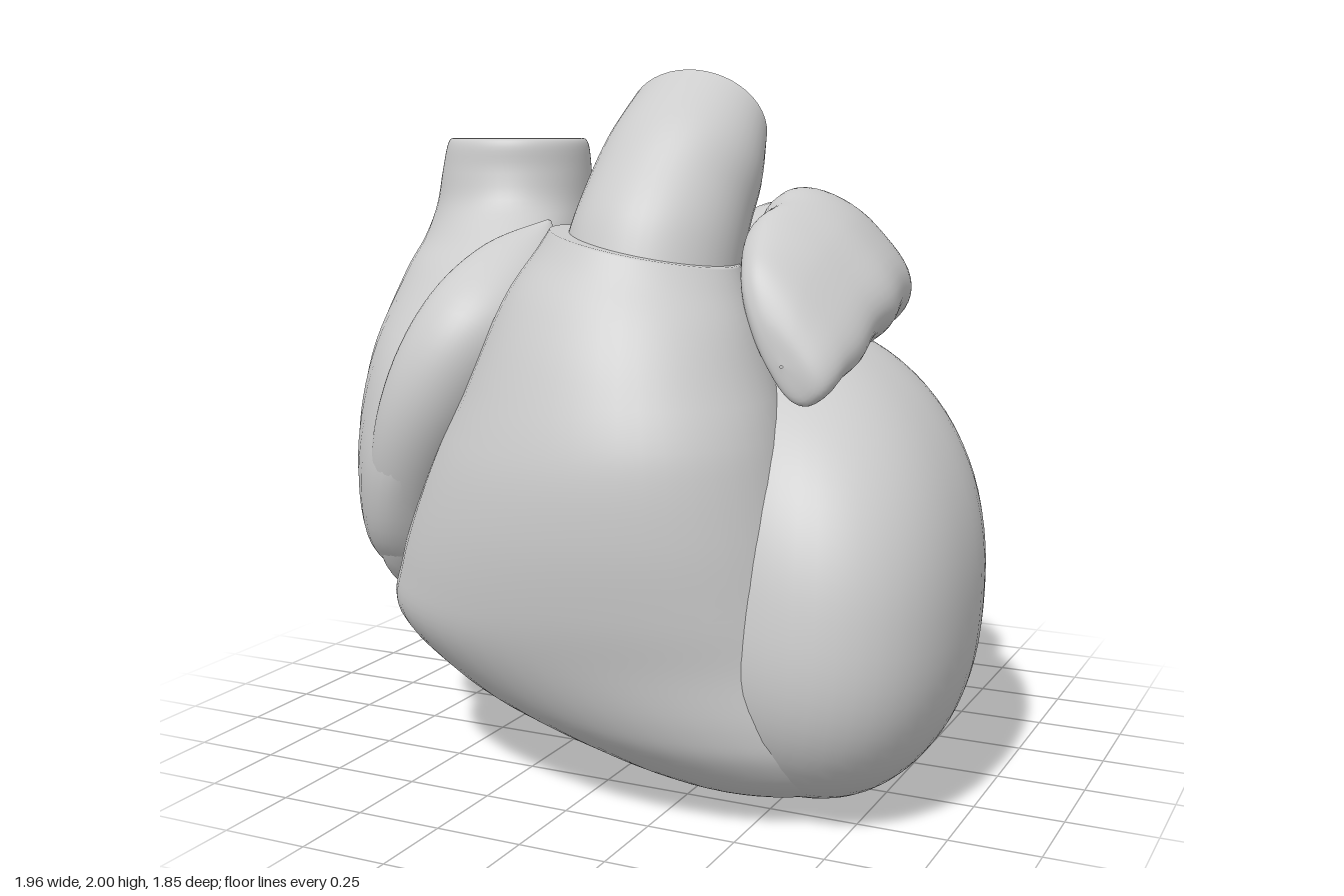
import * as THREE from 'three';
import { mergeVertices } from 'three/addons/utils/BufferGeometryUtils.js';

const V = (x, y, z) => new THREE.Vector3(x, y, z);
const SEG = 48;
const squarish = (v, power) => Math.sign(v) * Math.abs(v) ** power;

// Smooth loft: rows of section numbers are spline-interpolated, point(row, angle) gives the surface
function loft(rows, point, { steps = 6, capEnd = false } = {}) {
  const pos = [], index = [], count = (rows.length - 1) * steps;
  for (let i = 0; i <= count; i++) {
    const k = Math.min(Math.floor(i / steps), rows.length - 2), t = i / steps - k;
    const at = (n) => rows[Math.max(0, Math.min(rows.length - 1, n))];
    const row = rows[k].map((b, c) => {
      const a = at(k - 1)[c], d = at(k + 1)[c], e = at(k + 2)[c];
      return b + 0.5 * t * (d - a + t * (2 * a - 5 * b + 4 * d - e + t * (3 * (b - d) + e - a)));
    });
    for (let j = 0; j < SEG; j++) pos.push(...point(row, (j / SEG) * Math.PI * 2).toArray());
  }
  for (let i = 0; i < count; i++) for (let j = 0; j < SEG; j++) {
    const a = i * SEG + j, b = i * SEG + (j + 1) % SEG;
    index.push(a, a + SEG, b, b, a + SEG, b + SEG);
  }
  if (capEnd) {
    const first = count * SEG, centre = V(0, 0, 0);
    for (let j = 0; j < SEG; j++) centre.add(V().fromArray(pos, (first + j) * 3));
    pos.push(...centre.divideScalar(SEG).toArray());
    for (let j = 0; j < SEG; j++) index.push(first + j, pos.length / 3 - 1, first + (j + 1) % SEG);
  }
  const g = new THREE.BufferGeometry();
  g.setAttribute('position', new THREE.Float32BufferAttribute(pos, 3));
  g.setIndex(index);
  g.computeVertexNormals();
  return g;
}

// Round-section tube along one main direction; rows are [x, y, z, radius]
function tube(rows, steps = 6) {
  const d = V(...rows[rows.length - 1]).sub(V(...rows[0])).normalize();
  const u = V(0, 0, 1).addScaledVector(d, -d.z).normalize();
  const v = u.clone().cross(d);
  return loft(rows, ([x, y, z, r], a) => V(x, y, z)
    .addScaledVector(u, r * Math.cos(a)).addScaledVector(v, r * Math.sin(a)), { steps });
}

// Full-bodied egg: a rounded superellipsoid sheared by a lower-triangular matrix
function egg([cx, cy, cz], [a, b, d, c, e, f], power) {
  const g0 = new THREE.SphereGeometry(1, 64, 48);
  g0.deleteAttribute('uv');
  g0.deleteAttribute('normal');
  const g = mergeVertices(g0, 1e-4), p = g.attributes.position;
  for (let i = 0; i < p.count; i++) {
    const q = V().fromBufferAttribute(p, i);
    const n = Math.pow(['x', 'y', 'z'].reduce((s, k) => s + Math.abs(q[k]) ** power, 0), 1 / power);
    q.divideScalar(n);
    p.setXYZ(i, cx + a * q.x, cy + b * q.x + d * q.y, cz + c * q.x + e * q.y + f * q.z);
  }
  g.computeVertexNormals();
  return g;
}

export function createModel() {
  const model = new THREE.Group();
  model.name = 'heart';
  const grey = new THREE.MeshStandardMaterial({ color: 0xcccccc, side: THREE.DoubleSide });
  grey.name = 'plain grey';
  const add = (name, geometry, parent = model) => {
    const mesh = new THREE.Mesh(geometry, grey);
    mesh.name = name;
    parent.add(mesh);
  };

  // Left ventricle: tilted egg
  add('leftVentricle', egg([0.35, 0.65, 0.045], [0.633, -0.11, 0.635, 0.238, -0.095, 0.66], 2.3));

  // Right ventricle: horizontal sections [y, left x, right x, front z, back z]
  add('rightVentricle', loft([
    [0.04, 0.36, 0.4, 0.26, 0.22],
    [0.05, 0.1, 0.64, 0.53, 0.04],
    [0.1, -0.12, 0.74, 0.66, -0.04],
    [0.2, -0.38, 0.78, 0.77, -0.06],
    [0.3, -0.56, 0.75, 0.83, -0.03],
    [0.45, -0.71, 0.68, 0.88, 0],
    [0.6, -0.68, 0.63, 0.915, 0],
    [0.8, -0.6, 0.58, 0.935, 0],
    [1.0, -0.51, 0.53, 0.92, 0],
    [1.2, -0.4, 0.47, 0.85, 0.04],
    [1.35, -0.31, 0.42, 0.77, 0.12],
    [1.46, -0.23, 0.37, 0.69, 0.15],
    [1.52, -0.19, 0.34, 0.65, 0.16],
  ], ([y, l, r, f, b], a) => {
    const x = (l + r) / 2 + (r - l) / 2 * Math.cos(a) + 0.1 * Math.sin(a) * Math.min(1, (r - l), Math.max(0, (1.52 - y) * 2));
    const tilt = Math.max(0, (y - 1.1) / 0.42);
    return V(x, y - 0.19 * (x - 0.07) * tilt, (f + b) / 2 + (f - b) / 2 * Math.sin(a));
  }, { capEnd: true }));

  // Pulmonary trunk: open sloping pipe [centre x, half width, front z, front y, back z, back y]
  add('pulmonaryTrunk', loft([
    [0.08, 0.25, 0.635, 1.46, 0.17, 1.32],
    [0.085, 0.245, 0.575, 1.61, 0.13, 1.42],
    [0.09, 0.24, 0.47, 1.75, 0.1, 1.5],
    [0.1, 0.235, 0.35, 1.88, 0.07, 1.59],
    [0.1, 0.215, 0.18, 2.0, 0.05, 1.69],
  ], ([cx, w, fz, fy, bz, by], a) => V(cx + w * Math.cos(a),
    (fy + by) / 2 + (fy - by) / 2 * Math.sin(a), (fz + bz) / 2 + (fz - bz) / 2 * Math.sin(a))));

  // Right atrium with both great veins: [y, centre x, centre z, x radius, z radius, front shift, back shift]
  add('rightAtriumAndGreatVeins', loft([
    [0.3, -0.64, -0.12, 0.18, 0.18, 0, 0],
    [0.175, -0.63, -0.12, 0.185, 0.185, 0, 0],
    [0.165, -0.63, -0.12, 0.205, 0.2, 0, 0],
    [0.2, -0.63, -0.12, 0.22, 0.21, 0, 0],
    [0.35, -0.65, -0.11, 0.235, 0.28, 0, 0.04],
    [0.45, -0.68, -0.06, 0.235, 0.4, 0, 0.06],
    [0.6, -0.71, 0.02, 0.24, 0.53, 0.03, 0.06],
    [0.8, -0.72, 0.06, 0.25, 0.585, 0.09, 0.03],
    [1.0, -0.7, 0.08, 0.275, 0.585, 0.15, 0],
    [1.2, -0.68, 0.06, 0.28, 0.55, 0.2, 0],
    [1.4, -0.65, 0, 0.275, 0.42, 0.2, 0],
    [1.5, -0.64, -0.06, 0.265, 0.32, 0.12, 0],
    [1.6, -0.64, -0.11, 0.25, 0.255, 0.03, 0],
    [1.7, -0.635, -0.12, 0.238, 0.23, 0, 0],
    [1.78, -0.63, -0.12, 0.225, 0.22, 0, 0],
    [1.805, -0.63, -0.12, 0.21, 0.205, 0, 0],
    [1.785, -0.63, -0.12, 0.195, 0.19, 0, 0],
    [1.65, -0.63, -0.12, 0.2, 0.195, 0, 0],
  ], ([y, cx, cz, rx, rz, kf, kb], a) => {
    const s = Math.sin(a), c = Math.cos(a);
    // the back corners of the chamber are boxier than the veins
    const power = s < 0 ? 1 - 0.25 * Math.min(1, Math.max(0, (rz - 0.28) / 0.25)) : 1;
    return V(cx + rx * squarish(c, power) + (s > 0 ? kf : kb) * s * s, y, cz + rz * squarish(s, power));
  }, { steps: 5 }));

  // Right auricle: ridge lying along the edge of the right ventricle
  add('rightAuricle', tube([
    [-0.74, 0.43, 0.36, 0.005], [-0.71, 0.55, 0.44, 0.08], [-0.62, 0.85, 0.54, 0.12],
    [-0.51, 1.1, 0.54, 0.155], [-0.41, 1.31, 0.46, 0.165], [-0.36, 1.46, 0.31, 0.125],
    [-0.34, 1.57, 0.2, 0.005],
  ]));

  // Left atrium with four short, lipped veins
  add('leftAtrium', egg([-0.16, 1.03, -0.525], [0.53, 0, 0.55, 0, -0.03, 0.385], 2.4));
  const veins = [
    ['leftUpperVein', V(0.0, 1.25, -0.52), V(0.41, 1.38, -0.58)],
    ['leftLowerVein', V(0.0, 1.0, -0.59), V(0.41, 0.96, -0.79)],
    ['rightUpperVein', V(-0.34, 1.25, -0.52), V(-0.76, 1.34, -0.58)],
    ['rightLowerVein', V(-0.34, 1.0, -0.59), V(-0.76, 0.91, -0.82)],
  ];
  const flare = [[0, 0.31], [0.35, 0.28], [0.65, 0.19], [0.85, 0.125], [0.97, 0.11], [1, 0.09], [0.96, 0.068], [0.7, 0.06]];
  for (const [name, from, to] of veins) {
    add(name, tube(flare.map(([t, r]) => [...from.clone().lerp(to, t).toArray(), r])));
  }

  // Left auricle: slanted flap, thicker at its lower edge [z, centre x, centre y, half length, half thickness]
  add('leftAuricle', loft([
    [-0.34, 0.38, 1.4, 0.005, 0.005],
    [-0.3, 0.39, 1.41, 0.14, 0.13],
    [-0.22, 0.41, 1.42, 0.21, 0.17],
    [-0.08, 0.45, 1.45, 0.24, 0.17],
    [0.1, 0.48, 1.44, 0.24, 0.155],
    [0.25, 0.49, 1.4, 0.235, 0.125],
    [0.38, 0.5, 1.34, 0.22, 0.1],
    [0.45, 0.51, 1.29, 0.19, 0.08],
    [0.49, 0.52, 1.24, 0.12, 0.05],
    [0.5, 0.52, 1.22, 0.004, 0.004],
  ], ([z, cx, cy, h, t], a) => {
    const wave = 1 + 0.03 * Math.sin(z * 28 + 2 * a);
    const p = h * wave * squarish(Math.cos(a), 0.8);
    const q = t * squarish(Math.sin(a), 0.8) * (1 + 0.3 * Math.cos(a));
    return V(cx + 0.58 * p - 0.81 * q, cy - 0.81 * p - 0.58 * q, z);
  }));
  add('leftAuricleNeck', tube([
    [0.02, 1.29, -0.47, 0.21], [0.17, 1.37, -0.28, 0.19], [0.3, 1.41, -0.1, 0.22], [0.42, 1.42, 0.02, 0.19],
  ]));

  // Aortic valve: rim, root wall, cupped floor and three leaflet edges meeting in the middle
  const valve = new THREE.Group();
  valve.name = 'aorticValve';
  valve.position.set(-0.16, 1.41, -0.02);
  valve.rotation.x = -0.1;
  model.add(valve);
  add('valveRim', new THREE.TorusGeometry(0.19, 0.02, 12, 48).rotateX(Math.PI / 2), valve);
  add('valveRoot', new THREE.CylinderGeometry(0.2, 0.22, 0.32, 48, 1, true).translate(0, -0.16, 0), valve);
  add('valveFloor', new THREE.SphereGeometry(0.19, 36, 12, 0, Math.PI * 2, Math.PI / 2, Math.PI / 2)
    .scale(1, 0.7, 1), valve);
  for (let i = 0; i < 3; i++) {
    const leaflet = new THREE.Group();
    leaflet.name = 'leaflet';
    leaflet.rotation.y = i * Math.PI * 2 / 3 - 0.9;
    valve.add(leaflet);
    add('leafletEdge', new THREE.CapsuleGeometry(0.012, 0.17, 4, 8).rotateZ(Math.PI / 2).translate(0.09, -0.03, 0), leaflet);
    add('leafletWall', new THREE.BoxGeometry(0.18, 0.09, 0.012).translate(0.09, -0.075, 0), leaflet);
  }

  return model;
}
